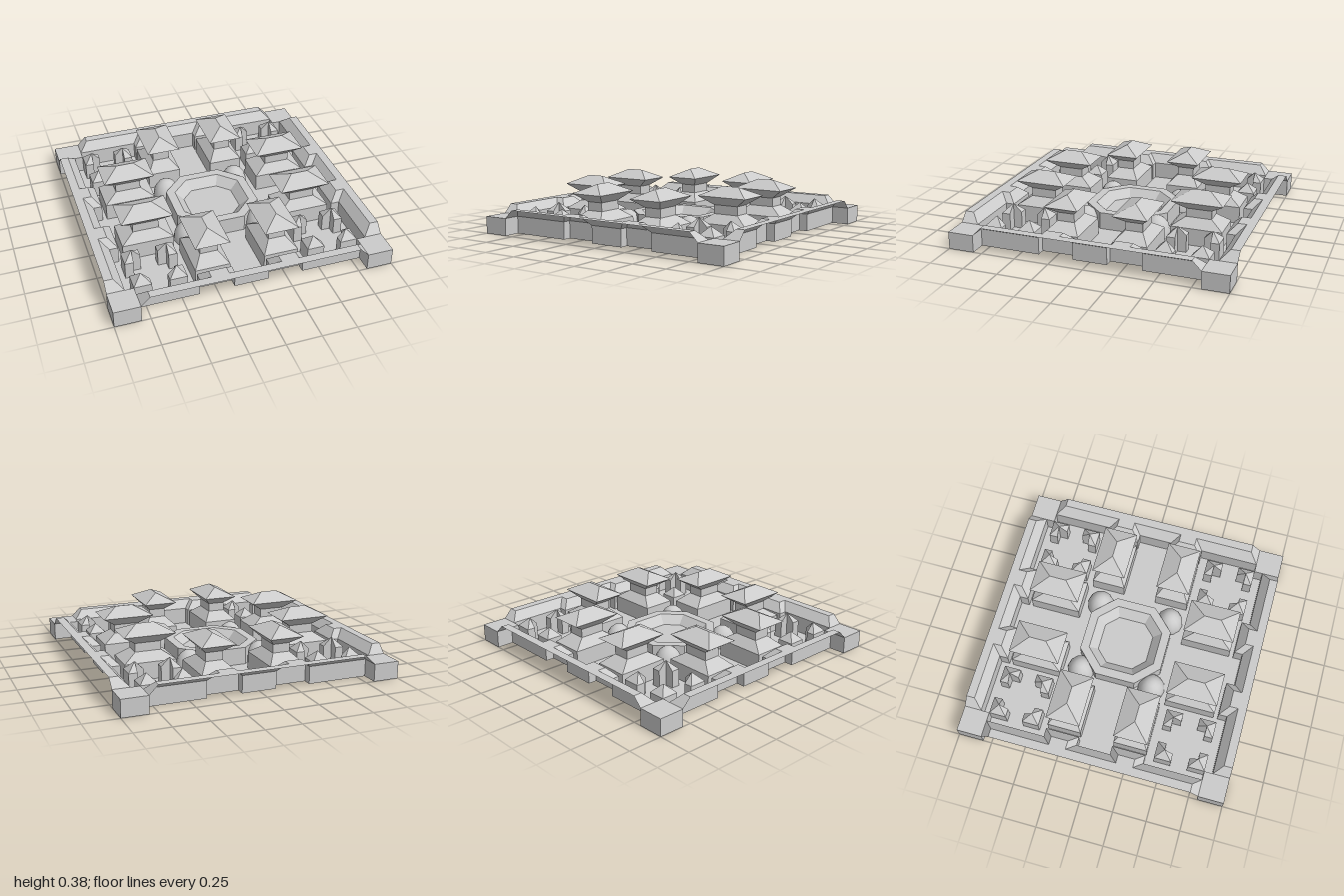
import * as THREE from 'three';

const U = 0.0625; // module unit all parts are laid out on
const material = new THREE.MeshStandardMaterial({ color: 0xcccccc, flatShading: true, side: THREE.DoubleSide });
const smooth = new THREE.MeshStandardMaterial({ color: 0xcccccc, side: THREE.DoubleSide });

// Quarter turn of [x, z] points about the y axis, n times
const turn = (pts, n) => (n ? turn(pts.map(([x, z]) => [z, -x]), n - 1) : pts);
const shift = (pts, cx, cz) => pts.map(([x, z]) => [x + cx, z + cz]);
const rect = (a, b) => [[-a, b], [a, b], [a, -b], [-a, -b]];
const octagon = (r, c) => [0, 1, 2, 3].flatMap((n) => turn([[-c, r], [c, r]], n));

// Faces between stacked outlines, each given as [points, y]
function loft(rings, closed = true) {
  const pos = [];
  for (let r = 0; r < rings.length - 1; r++) {
    const [p, y0] = rings[r], [q, y1] = rings[r + 1];
    const n = p.length;
    for (let i = 0; i < (closed ? n : n - 1); i++) {
      const j = (i + 1) % n;
      const a = [p[i][0], y0, p[i][1]], b = [p[j][0], y0, p[j][1]];
      const c = [q[j][0], y1, q[j][1]], d = [q[i][0], y1, q[i][1]];
      pos.push(...a, ...b, ...c, ...a, ...c, ...d);
    }
  }
  const g = new THREE.BufferGeometry();
  g.setAttribute('position', new THREE.Float32BufferAttribute(pos, 3));
  g.computeVertexNormals();
  return g;
}

// Horizontal plate with optional holes
function plate(pts, y, holes = []) {
  const v = (list) => list.map(([x, z]) => new THREE.Vector2(x, -z));
  const shape = new THREE.Shape(v(pts));
  shape.holes = holes.map((h) => new THREE.Path(v(h)));
  return new THREE.ShapeGeometry(shape).rotateX(-Math.PI / 2).translate(0, y, 0);
}

function part(name, ...geometries) {
  const group = new THREE.Group();
  group.name = name;
  for (const g of geometries) {
    const mesh = new THREE.Mesh(g, material);
    mesh.name = name;
    group.add(mesh);
  }
  return group;
}

export function createModel() {
  const model = new THREE.Group();
  model.name = 'walledVillage';
  const holes = [];

  // Wall outlines: foot and chamfered top, each with two buttresses
  const mirrored = (half) => [...half, ...half.map(([x, z]) => [-x, z]).reverse()];
  const inner = mirrored([[-13 * U, 14 * U], [-6 * U, 14 * U], [-6 * U, 13 * U], [-2 * U, 13 * U], [-2 * U, 14 * U]]);
  const foot = [[-13 * U, 1], ...inner, [13 * U, 1]];
  const top = mirrored([[-12 * U, 1], [-12 * U, 15 * U], [-5 * U, 15 * U], [-5 * U, 14 * U], [-3 * U, 14 * U], [-3 * U, 15 * U]]);
  const court = [];

  for (let n = 0; n < 4; n++) {
    // Perimeter wall, open on its outer side
    const f = turn(foot, n).reverse(), t = turn(top, n).reverse();
    model.add(part('wall', loft([[f, 0], [f, 2 * U], [t, 3 * U]], false), plate(t, 3 * U)));
    court.push(...turn(inner, n), ...turn([[13 * U, 13 * U]], n));

    // Low corner bastion
    const corner = turn(shift(rect(1.5 * U, 1.5 * U), 14.5 * U, 14.5 * U), n);
    model.add(part('cornerBastion', loft([[corner, 0], [corner, 2 * U]]), plate(corner, 2 * U)));

    // Pair of hipped-roof houses on this side
    for (const s of [-1, 1]) {
      const at = (a, b) => turn(shift(rect(a, b), 9.5 * U, s * 4 * U), n);
      const base = at(3 * U, 2 * U), body = at(1.5 * U, U), eaves = at(3 * U, 2 * U), ridge = at(U, 0);
      holes.push(base);
      model.add(part('house',
        loft([[base, 0], [base, 2 * U], [body, 3 * U], [body, 4 * U]]),
        loft([[body, 4 * U], [eaves, 5 * U], [ridge, 6 * U]])));
    }

    // Four L-shaped corner posts with pointed tops
    const post = [[-U, -U], [-U, U], [0, U], [0, 0], [U, 0], [U, -U]];
    for (let k = 0; k < 4; k++) {
      const place = (pts) => turn(shift(turn(shift(pts, -2 * U, -2 * U), k), 10 * U, 10 * U), n);
      const outline = place(post), tip = place(post.map(() => [0, 0]));
      holes.push(outline);
      model.add(part('cornerPost', loft([[outline, 0], [outline, 2 * U], [tip, 3 * U]])));
    }

    // Rounded mound beside the plaza
    const [[mx, mz]] = turn([[4.4 * U, 4.4 * U]], n);
    const dome = new THREE.SphereGeometry(1.65 * U, 12, 5, 0, Math.PI * 2, 0, Math.PI / 2);
    const mound = new THREE.Mesh(dome, smooth);
    mound.name = 'mound';
    mound.position.set(mx, 0, mz);
    mound.scale.y = 1.45;
    model.add(mound);
  }

  // Central plaza with a raised, inward-sloping curb
  const outer = octagon(5 * U, 2.4 * U), lip = octagon(4 * U, 2 * U), pool = octagon(3 * U, 1.6 * U);
  holes.push(outer);
  model.add(part('plaza', loft([[outer, 0], [outer, 2 * U], [lip, 2 * U], [pool, U]]), plate(pool, U)));

  // Courtyard floor, open beneath the buildings
  model.add(part('courtyardFloor', plate(court, 0, holes)));
  return model;
}
